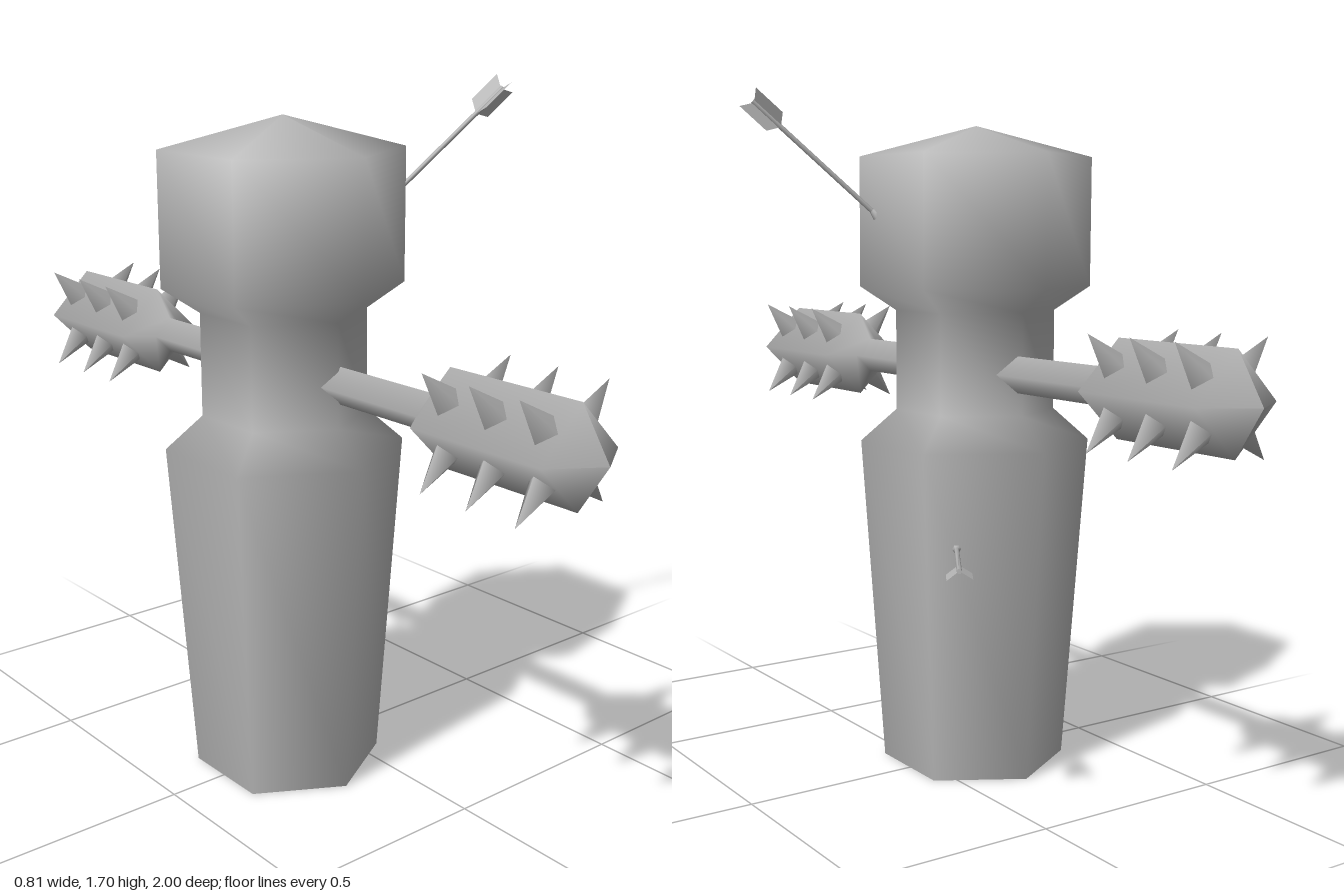
import * as THREE from 'three';

const grey = new THREE.MeshStandardMaterial({ color: 0xb3b3b3 });
const greyFins = new THREE.MeshStandardMaterial({ color: 0xb3b3b3, side: THREE.DoubleSide });
const UP = new THREE.Vector3(0, 1, 0);

function add(parent, name, geometry, material = grey) {
  const mesh = new THREE.Mesh(geometry, material);
  mesh.name = name;
  parent.add(mesh);
  return mesh;
}

const lathe = (profile, sides) =>
  new THREE.LatheGeometry(profile.map(([r, y]) => new THREE.Vector2(r, y)), sides);

// Hexagonal post with a narrow neck and a domed head
function makeBody() {
  const body = new THREE.Group();
  body.name = 'body';
  add(body, 'post', lathe([
    [0.232, 0], [0.29, 0.83], [0.2, 0.91], [0.2, 1.16],
    [0.29, 1.22], [0.29, 1.54], [0, 1.615],
  ], 6));
  add(body, 'base', new THREE.CircleGeometry(0.232, 6, Math.PI / 2).rotateX(Math.PI / 2));
  body.position.set(-0.15, 0, 0.005);
  return body;
}

// Four-sided spiked club pointing along +z
function makeArm(name) {
  const arm = new THREE.Group();
  arm.name = name;
  add(arm, 'club', lathe([
    [0.045, 0.1], [0.045, 0.505], [0.113, 0.56], [0.113, 0.925], [0, 1],
  ], 4).rotateX(Math.PI / 2));
  const length = 0.105;
  const spike = new THREE.ConeGeometry(0.036, length, 4).translate(0, 0.078 + length / 2, 0);
  for (let side = 0; side < 4; side++) {
    for (const z of [0.61, 0.745, 0.88]) {
      const mesh = add(arm, 'spike', spike);
      mesh.rotation.z = Math.PI / 4 + side * Math.PI / 2;
      mesh.position.z = z;
    }
  }
  arm.position.set(-0.14, 1.012, 0);
  return arm;
}

// Arrow stuck in the post, from its entry point to its tail
function makeArrow(name, from, to) {
  const arrow = new THREE.Group();
  arrow.name = name;
  const start = new THREE.Vector3(...from);
  const dir = new THREE.Vector3(...to).sub(start);
  const len = dir.length();
  add(arrow, 'arrowShaft', new THREE.CylinderGeometry(0.006, 0.006, len + 0.03, 6)
    .translate(0, len / 2 - 0.015, 0));
  add(arrow, 'arrowCollar', new THREE.CylinderGeometry(0.006, 0.014, 0.02, 6));
  // Swept feathers
  const outline = new THREE.Shape([
    [0, len - 0.09], [0.034, len - 0.07], [0.034, len + 0.015], [0, len - 0.005],
  ].map(([x, y]) => new THREE.Vector2(x, y)));
  const feather = new THREE.ShapeGeometry(outline);
  for (let i = 0; i < 3; i++) {
    add(arrow, 'feather', feather, greyFins).rotation.y = i * Math.PI * 2 / 3;
  }
  arrow.position.copy(start);
  arrow.quaternion.setFromUnitVectors(UP, dir.normalize());
  return arrow;
}

export function createModel() {
  const model = new THREE.Group();
  model.name = 'trainingDummy';
  const backArm = makeArm('backArm');
  backArm.rotation.y = Math.PI;
  model.add(
    makeBody(),
    makeArm('frontArm'),
    backArm,
    makeArrow('upperArrow', [0.1, 1.4, 0.08], [0.37, 1.665, 0.195]),
    makeArrow('lowerArrow', [0.025, 0.597, -0.17], [0.205, 0.619, -0.445]),
  );
  return model;
}
